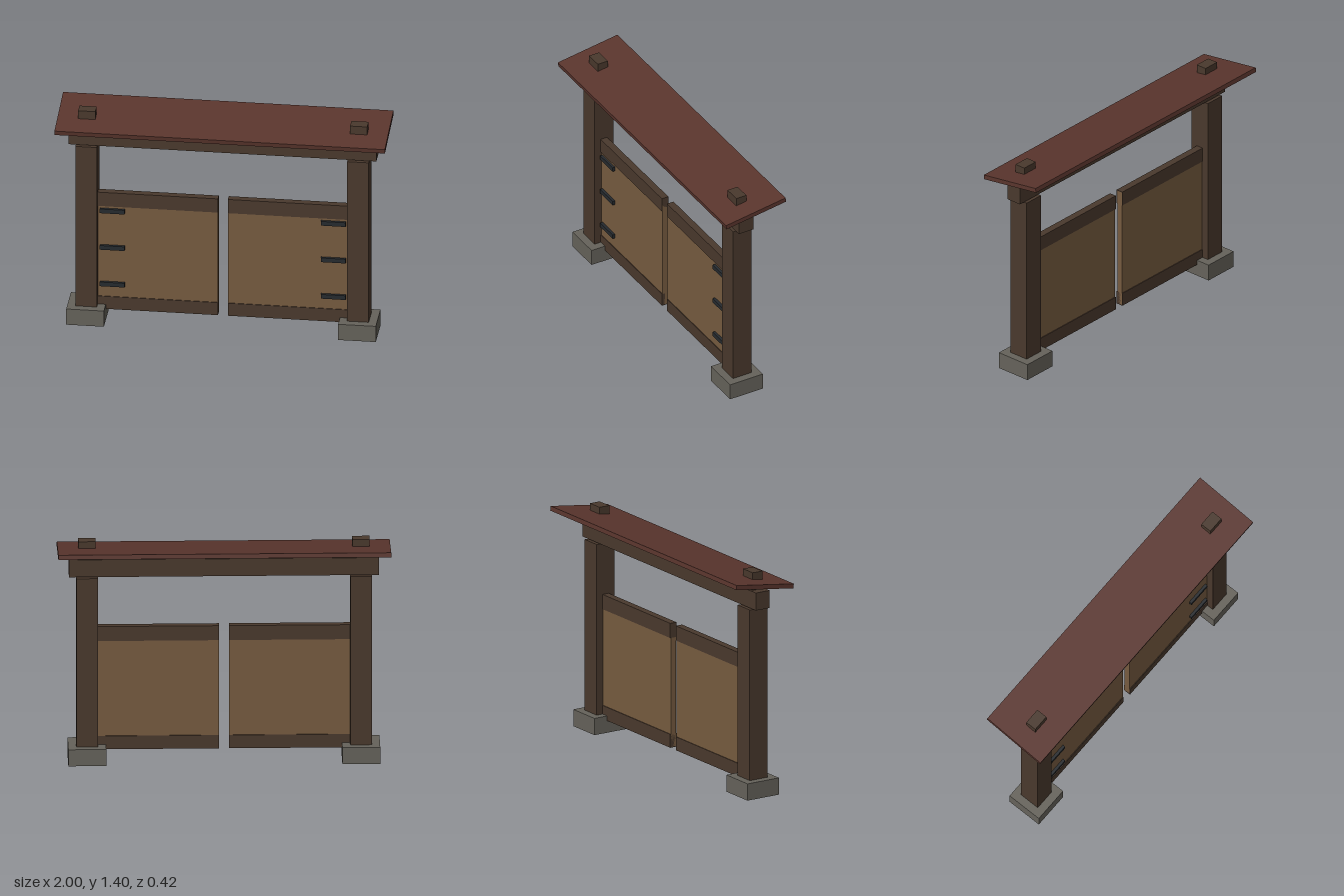
import * as THREE from 'three';

const paint = (color) => new THREE.MeshStandardMaterial({ color });

export function createModel() {
  const gate = new THREE.Group();
  gate.name = 'roofedGate';
  const timber = paint(0x4a392d);
  const boards = paint(0x775c40);
  const tile = paint(0x5a352d);
  const stone = paint(0x66635b);
  const iron = paint(0x262a2e);
  const Z = 0.03; // plane of the frame and doors

  // box given by its centre and size
  function box(parent, name, material, [w, h, d], [x, y, z]) {
    const mesh = new THREE.Mesh(new THREE.BoxGeometry(w, h, d), material);
    mesh.name = name;
    mesh.position.set(x, y, z);
    parent.add(mesh);
    return mesh;
  }

  for (const [label, s] of [['left', 1], ['right', -1]]) {
    // post standing in a stone footing, with a tenon through beam and roof
    const post = new THREE.Group();
    post.name = label + 'PostAssembly';
    gate.add(post);
    box(post, 'footing', stone, [0.228, 0.105, 0.228], [s * 0.823, 0.0575, Z]);
    box(post, 'post', timber, [0.13, 1.18, 0.13], [s * 0.823, 0.59, Z]);
    box(post, 'tenon', timber, [0.104, 0.235, 0.07], [s * 0.823, 1.2875, Z]);

    // door leaf: panel, two rails and three strap hinges on the front
    const door = new THREE.Group();
    door.name = label + 'Door';
    gate.add(door);
    const w = 0.728, x = s * 0.394;
    box(door, 'panel', boards, [w, 0.77, 0.036], [x, 0.47, Z]);
    box(door, 'topRail', timber, [w, 0.092, 0.045], [x, 0.814, Z]);
    box(door, 'bottomRail', timber, [w, 0.084, 0.045], [x, 0.122, Z]);
    for (const y of [0.25, 0.495, 0.74]) {
      box(door, 'strapHinge', iron, [0.15, 0.028, 0.018], [s * 0.669, y, Z + 0.026]);
    }
  }

  // lintel beam across the posts
  box(gate, 'lintel', timber, [1.864, 0.11, 0.1], [0, 1.24, Z]);

  // single-pitch roof board, lower at the front
  const roof = box(gate, 'roof', tile, [2, 0.028, 0.418], [0, 1.347, 0]);
  roof.rotation.x = THREE.MathUtils.degToRad(8);

  return gate;
}
